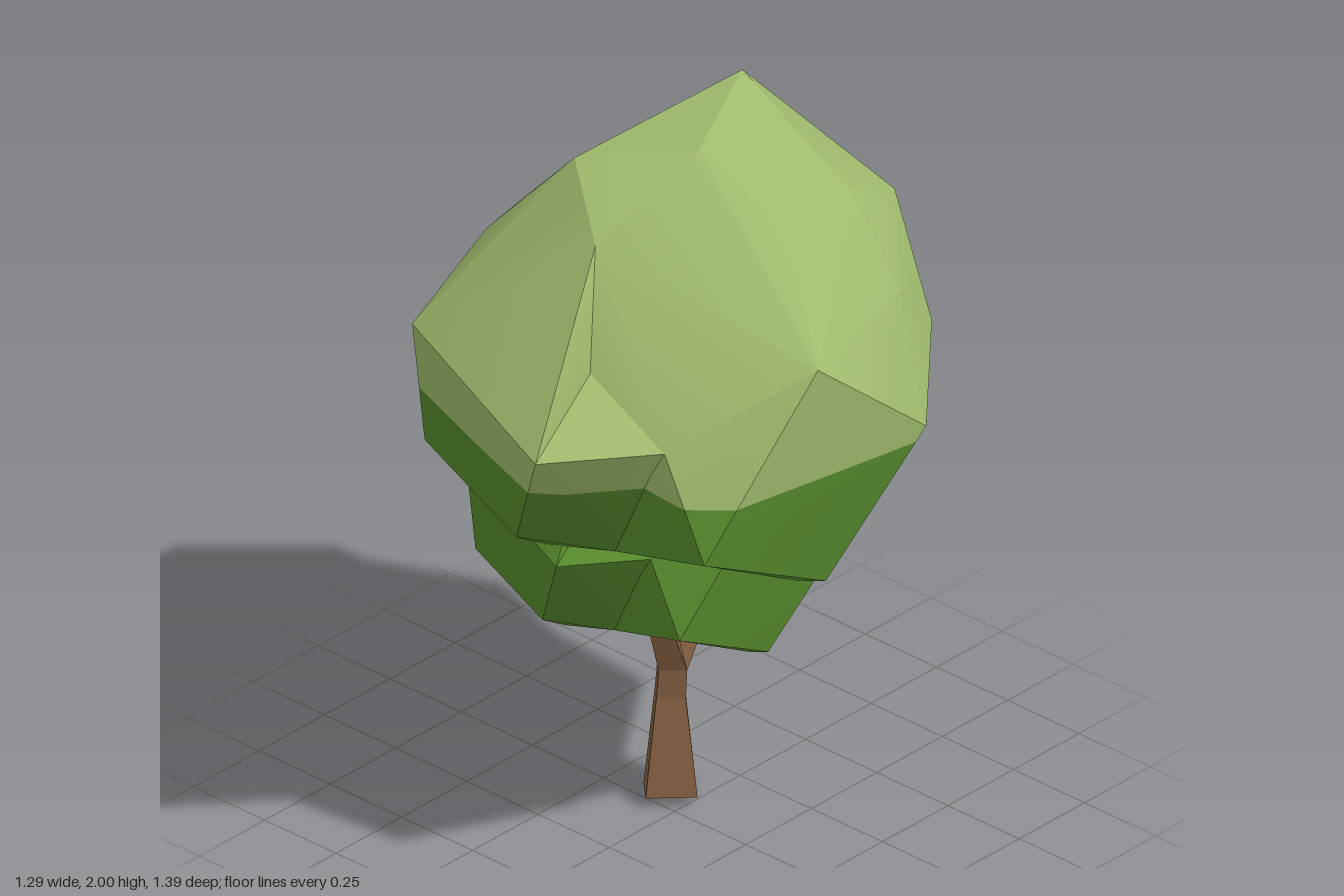
import * as THREE from 'three';
import { ConvexGeometry } from 'three/addons/geometries/ConvexGeometry.js';
import { toCreasedNormals } from 'three/addons/utils/BufferGeometryUtils.js';

const leafLight = new THREE.MeshStandardMaterial({ color: 0x9fba6c });
const leafDark = new THREE.MeshStandardMaterial({ color: 0x568a2c });
const bark = new THREE.MeshStandardMaterial({ color: 0x805c3f });
leafLight.name = 'lightLeaves';
leafDark.name = 'darkLeaves';
bark.name = 'bark';

const V = (x, y, z) => new THREE.Vector3(x, y, z);

// Key corners of a crown
const corner = {
  peak: V(-0.13, 2, -0.4), domeFront: V(0.02, 1.96, -0.07), domeLeft: V(0.31, 1.83, -0.1),
  domeBack: V(0.28, 1.82, -0.36), shoulder: V(0.47, 1.6, -0.35),
  backA: V(-0.13, 1.73, -0.65), backB: V(0.18, 1.66, -0.645),
  backC: V(-0.38, 1.37, -0.58), backD: V(0.37, 1.37, -0.58),
  rightTop: V(-0.41, 1.76, -0.37), rightMid: V(-0.53, 1.63, 0), rightLow: V(-0.575, 1.33, 0.1),
  leftBack: V(0.645, 1.3, -0.26), leftTop: V(0.605, 1.61, 0.11),
  cheekTop: V(0.36, 1.4, 0.43), cheekLow: V(0.5, 1.12, 0.43),
  leftBase: V(0.54, 0.91, 0.01), bottom: V(0.33, 0.77, -0.12),
  notchFront: V(0.14, 1, 0.38), notchSide: V(-0.38, 1.06, -0.4), notchRight: V(-0.53, 1.21, -0.18),
  browRight: V(-0.26, 1.9, 0.1), browLeft: V(-0.03, 1.8, 0.27), browLow: V(-0.46, 1.66, 0.22),
  noseRight: V(-0.485, 1.475, 0.475), nose: V(0.15, 1.4, 0.695), groove: V(0.09, 1.53, 0.42),
  chin: V(-0.05, 1.04, 0.55), chinLow: V(-0.07, 0.95, 0.41), chinRight: V(-0.51, 1.085, 0.4),
  spikeBack: V(-0.28, 1.01, -0.7), spikeRight: V(-0.65, 1.08, -0.22),
  keel: V(-0.01, 0.8, 0.03), keelRight: V(-0.24, 0.89, 0)
};

// Each crown is a cluster of overlapping faceted lobes
const lobes = {
  mainLobe: 'peak domeFront domeLeft domeBack shoulder backA backB backC backD rightTop rightMid rightLow ' +
    'leftBack leftTop cheekTop cheekLow leftBase bottom backBase notchFront notchSide notchRight ' +
    'browRight browLeft groove keel',
  frontLobe: 'browRight browLeft browLow rightMid rightLow noseRight nose groove chin chinLow chinRight keel keelRight',
  cheekLobe: 'groove nose cheekTop notchFront chin chinLow keel',
  rightLobe: 'rightLow notchRight noseRight chinRight spikeRight notchSide keel keelRight',
  backLobe: 'backC backD backBase spikeBack notchSide keel'
};

// Cuts triangles along a level so that the part above it takes the first material
function splitAtLevel(geometry, level) {
  const p = geometry.attributes.position;
  const above = [], below = [];
  for (let i = 0; i < p.count; i += 3) {
    const tri = [0, 1, 2].map(k => new THREE.Vector3().fromBufferAttribute(p, i + k));
    for (const [list, sign] of [[above, 1], [below, -1]]) {
      const poly = [];
      tri.forEach((a, k) => {
        const b = tri[(k + 1) % 3];
        const da = (a.y - level) * sign, db = (b.y - level) * sign;
        if (da >= 0) poly.push(a);
        if (da * db < 0) poly.push(a.clone().lerp(b, da / (da - db)));
      });
      for (let k = 1; k + 1 < poly.length; k++) list.push(poly[0], poly[k], poly[k + 1]);
    }
  }
  const out = new THREE.BufferGeometry().setFromPoints([...above, ...below]);
  out.addGroup(0, above.length, 0);
  out.addGroup(above.length, below.length, 1);
  return out;
}

// backBase is the low rear corner, the only one that differs between crowns
function crown(name, backBase, level) {
  const group = new THREE.Group();
  group.name = name;
  const points = { ...corner, backBase };
  for (const [lobe, list] of Object.entries(lobes)) {
    let geometry = new ConvexGeometry(list.split(' ').map(key => points[key]));
    if (level) geometry = splitAtLevel(geometry, level);
    const mesh = new THREE.Mesh(toCreasedNormals(geometry, 0.5), level ? [leafLight, leafDark] : leafDark);
    mesh.name = lobe;
    group.add(mesh);
  }
  return group;
}

// Four-cornered ring, turned so that its corners point along x and z
function ring(x, y, z, r, tilt = 0) {
  return [V(x + r, y + tilt, z), V(x, y + tilt, z + r), V(x - r, y, z), V(x, y, z - r)];
}

function limb(name, from, to) {
  const mesh = new THREE.Mesh(new ConvexGeometry([...from, ...to]), bark);
  mesh.name = name;
  return mesh;
}

export function createModel() {
  const tree = new THREE.Group();
  tree.name = 'tree';

  // Forked trunk
  const neck = ring(-0.1, 0.28, -0.093, 0.054);
  const fork = ring(-0.1, 0.36, -0.1, 0.052);
  tree.add(
    limb('trunk', ring(-0.065, 0, -0.055, 0.095, 0.03), neck),
    limb('trunkNeck', neck, fork),
    limb('frontBranch', fork, ring(-0.085, 0.56, -0.02, 0.04)),
    limb('backBranch', fork, ring(-0.125, 0.58, -0.285, 0.042))
  );

  // Large two-tone crown over a smaller copy
  const lower = crown('lowerCrown', V(0.08, 0.9, -0.65));
  lower.scale.setScalar(0.73);
  lower.position.set(-0.1, -0.085, -0.045);
  tree.add(crown('upperCrown', V(0.09, 0.89, -0.52), 1.26), lower);
  return tree;
}
